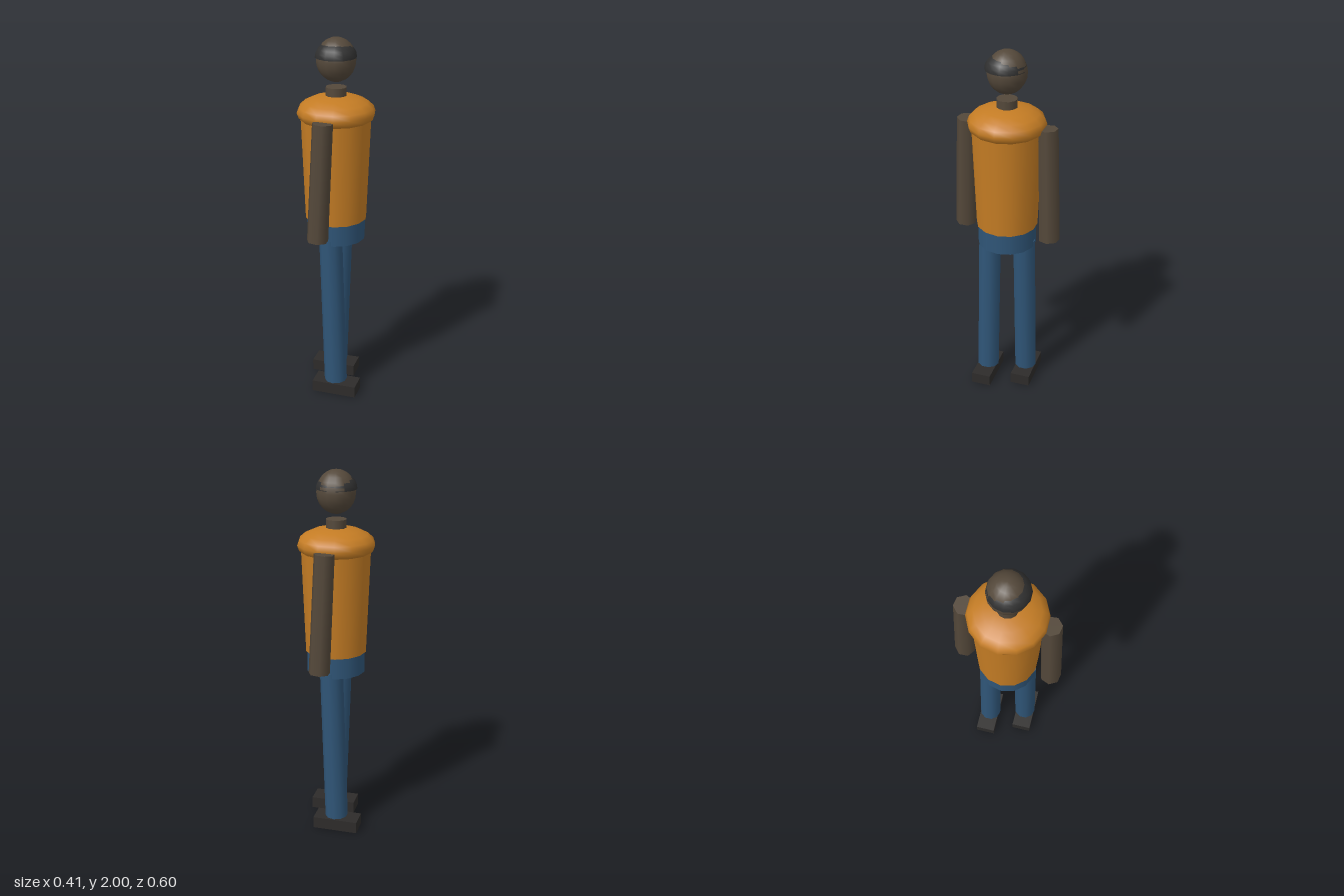
import * as THREE from 'three';

const mat = (name, color) => {
  const m = new THREE.MeshStandardMaterial({ color });
  m.name = name;
  return m;
};

export function createModel() {
  const model = new THREE.Group();
  model.name = 'figure';
  const skin = mat('skin', 0x54483a);
  const orange = mat('orange shirt', 0xc47c24);
  const denim = mat('blue trousers', 0x2f5577);
  const hairMat = mat('dark hair', 0x303030);
  const shoeMat = mat('dark shoe', 0x2d2b2a);

  const add = (name, geometry, material, parent = model) => {
    const mesh = new THREE.Mesh(geometry, material);
    mesh.name = name;
    parent.add(mesh);
    return mesh;
  };

  // Tapered limb running between two points, top to bottom
  const limb = (name, top, bottom, rTop, rBottom, sides, twist, material, parent) => {
    const a = new THREE.Vector3(...top), b = new THREE.Vector3(...bottom);
    const axis = a.clone().sub(b);
    const g = new THREE.CylinderGeometry(rTop, rBottom, axis.length(), sides);
    g.rotateY(twist);
    const mesh = add(name, g, material, parent);
    mesh.quaternion.setFromUnitVectors(new THREE.Vector3(0, 1, 0), axis.normalize());
    mesh.position.copy(a).add(b).multiplyScalar(0.5);
  };

  // Ellipsoid with a vertex on the x axis; thetaLength cuts it to a dome
  const ellipsoid = (r, h, sides, rings, thetaLength = Math.PI) =>
    new THREE.SphereGeometry(1, sides, rings, 0, Math.PI * 2, 0, thetaLength).scale(r, h, r);

  // Head, hair cap and neck
  add('head', ellipsoid(0.104, 0.114, 14, 12), skin).position.y = 1.886;
  const hair = add('hair', ellipsoid(0.108, 0.086, 14, 6, Math.PI / 2), hairMat);
  hair.position.set(0, 1.9, 0.006);
  hairMat.side = THREE.DoubleSide;
  limb('neck', [0, 1.745, 0], [0, 1.64, 0], 0.055, 0.055, 12, 0, skin, model);

  // Torso, rounded shoulders and hips
  add('shoulders', ellipsoid(0.206, 0.092, 14, 10), orange).position.y = 1.613;
  limb('torso', [0, 1.62, 0], [0, 1.03, 0], 0.187, 0.165, 14, Math.PI / 2, orange, model);
  limb('hips', [0, 1.035, 0], [0, 0.915, 0], 0.158, 0.158, 14, Math.PI / 2, denim, model);

  // Each side is the other turned half round, giving a walking pose
  for (const [side, turn] of [['left', 0], ['right', Math.PI]]) {
    const half = new THREE.Group();
    half.name = `${side}Limbs`;
    half.rotation.y = turn;
    model.add(half);
    limb(`${side}Arm`, [-0.003, 1.61, 0.218], [-0.025, 0.98, 0.245],
      0.054, 0.057, 7, 0.27, skin, half);
    limb(`${side}Leg`, [0, 0.94, 0.098], [0.031, 0.072, 0.105],
      0.062, 0.063, 10, 0, denim, half);
    add(`${side}Shoe`, new THREE.BoxGeometry(0.25, 0.065, 0.11), shoeMat, half)
      .position.set(0.035, 0.0325, 0.108);
  }
  return model;
}
